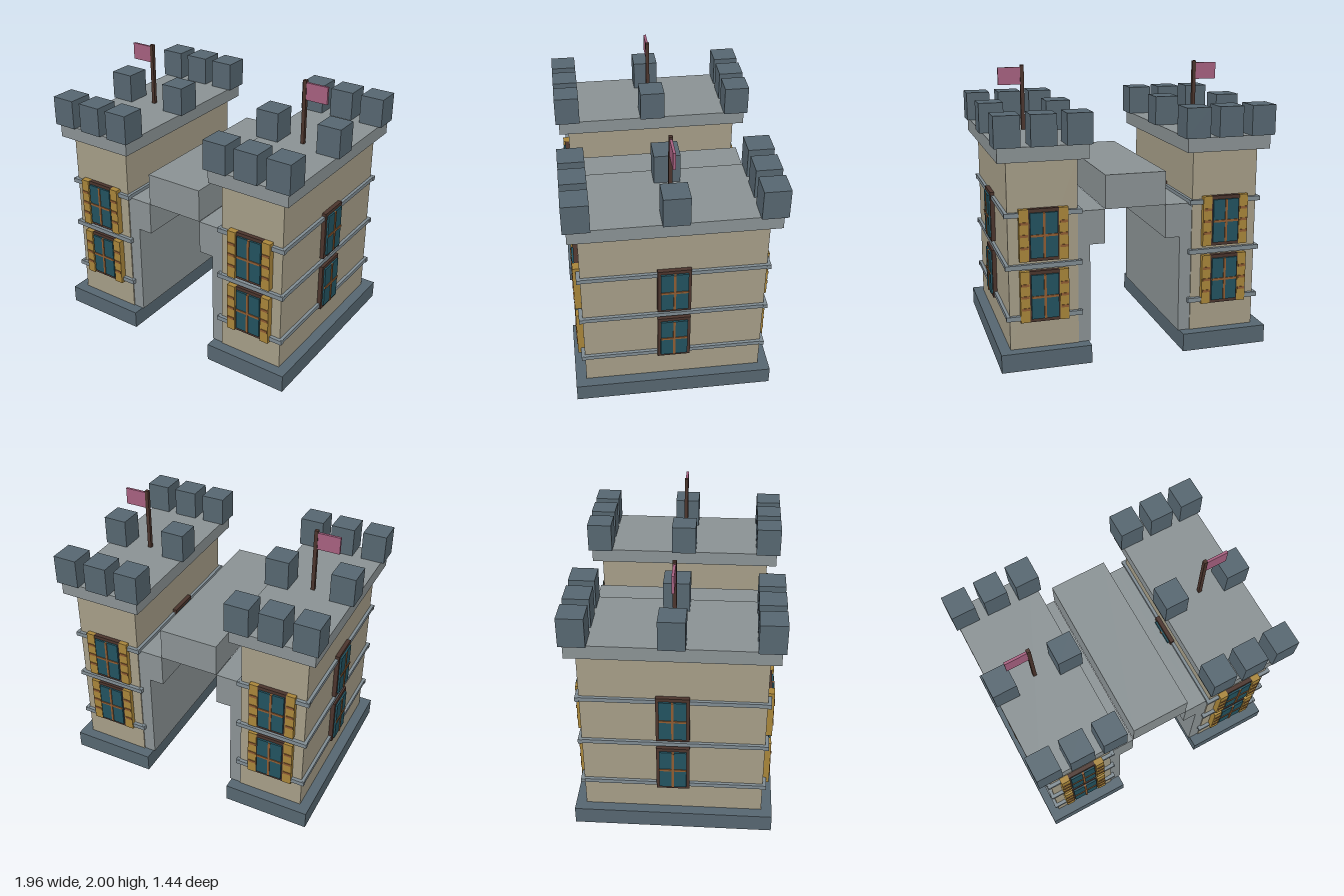
import * as THREE from 'three';

const mat = (name, color) => Object.assign(new THREE.MeshStandardMaterial({ color }), { name });
const M = {
  plaster: mat('plaster', 0xa59d87),
  stone: mat('paleStone', 0x8a9294),
  slate: mat('darkStone', 0x566670),
  band: mat('bandStone', 0x7f8b92),
  gold: mat('shutterGold', 0xa8853a),
  frame: mat('darkWood', 0x4a342c),
  glass: mat('glass', 0x22525f),
  bar: mat('warmWood', 0x8f5c32),
  flag: mat('flagPink', 0xa5607f),
};

// Box given by its min and max along each axis
function box(parent, name, m, x0, x1, y0, y1, z0, z1) {
  const mesh = new THREE.Mesh(new THREE.BoxGeometry(x1 - x0, y1 - y0, z1 - z0), m);
  mesh.position.set((x0 + x1) / 2, (y0 + y1) / 2, (z0 + z1) / 2);
  mesh.name = name;
  parent.add(mesh);
}

// Window facing +z, resting on the wall at z = 0, centred on the origin
function makeWindow(shutterDepth) {
  const g = new THREE.Group();
  g.name = 'window';
  const w = shutterDepth ? 0.105 : 0.115;
  box(g, 'windowFrame', M.frame, -w, w, -0.18, 0.18, -0.005, 0.03);
  box(g, 'windowPane', M.glass, -0.094, 0.094, -0.155, 0.155, 0, 0.043);
  box(g, 'mullion', M.bar, -0.008, 0.008, -0.155, 0.155, 0, 0.049);
  box(g, 'transom', M.bar, -0.094, 0.094, -0.008, 0.008, 0, 0.049);
  if (shutterDepth) for (const s of [-1, 1]) {
    const c = s * 0.136;
    box(g, 'shutter', M.gold, c - 0.032, c + 0.032, -0.18, 0.18, -0.005, shutterDepth);
    for (const y of [-0.085, 0, 0.085])
      box(g, 'shutterSlat', M.bar, c - 0.026, c + 0.028, y - 0.009, y + 0.009, 0, shutterDepth + 0.005);
  }
  return g;
}

// Tower centred on its own x axis; outward is the side (+1 or -1) away from the gate
function makeTower(outward) {
  const t = new THREE.Group();
  t.name = outward > 0 ? 'leftTower' : 'rightTower';
  box(t, 'plinth', M.slate, -0.315, 0.315, 0, 0.13, -0.706, 0.706);
  box(t, 'towerBody', M.plaster, -0.24, 0.24, 0.13, 1.44, -0.63, 0.63);
  box(t, 'towerCap', M.stone, -0.305, 0.305, 1.44, 1.54, -0.697, 0.697);

  // Battlements, leaving the middle free for the flag
  for (const x of [-0.24, 0, 0.24]) for (const z of [-0.632, 0, 0.632])
    if (x || z) box(t, 'merlon', M.slate, x - 0.087, x + 0.087, 1.54, 1.75, z - 0.089, z + 0.089);

  // Thin string courses on all four faces
  for (const y of [0.36, 0.72, 1.08]) for (const s of [-1, 1]) {
    const x = s * 0.25, z = s * 0.64;
    box(t, 'sideBand', M.band, x - 0.012, x + 0.012, y - 0.015, y + 0.015, -0.645, 0.645);
    box(t, 'endBand', M.band, -0.265, 0.265, y - 0.018, y + 0.014, z - 0.015, z + 0.015);
  }

  // Two storeys of windows; shutters on the front and back only
  for (const y of [0.508, 0.937]) {
    for (const s of [-1, 1]) {
      const end = makeWindow(s > 0 ? 0.045 : 0.033);
      end.position.set(0, y, s * 0.63);
      end.rotation.y = s > 0 ? 0 : Math.PI;
      const side = makeWindow(0);
      side.position.set(s * 0.24, y, 0);
      side.rotation.y = s * Math.PI / 2;
      t.add(end, side);
    }
  }

  // Flag flying outward
  box(t, 'flagPole', M.frame, -0.013, 0.013, 1.54, 2, -0.013, 0.013);
  const f = [outward * 0.013, outward * 0.172].sort((a, b) => a - b);
  box(t, 'flag', M.flag, f[0], f[1], 1.863, 1.985, -0.009, 0.009);
  t.position.x = outward * 0.652;
  return t;
}

export function createModel() {
  const model = new THREE.Group();
  model.name = 'gatehouse';
  for (const s of [-1, 1]) {
    model.add(makeTower(s));
    // Inner pier and stepped corbel of the gateway
    const span = (a, b) => [s * a, s * b].sort((p, q) => p - q);
    box(model, 'gatePier', M.stone, ...span(0.325, 0.42), 0.13, 1.07, -0.622, 0.622);
    box(model, 'gateCorbel', M.stone, ...span(0.218, 0.325), 0.83, 1.07, -0.622, 0.622);
  }
  box(model, 'gateLintel', M.stone, -0.216, 0.216, 1.07, 1.307, -0.622, 0.622);
  return model;
}
